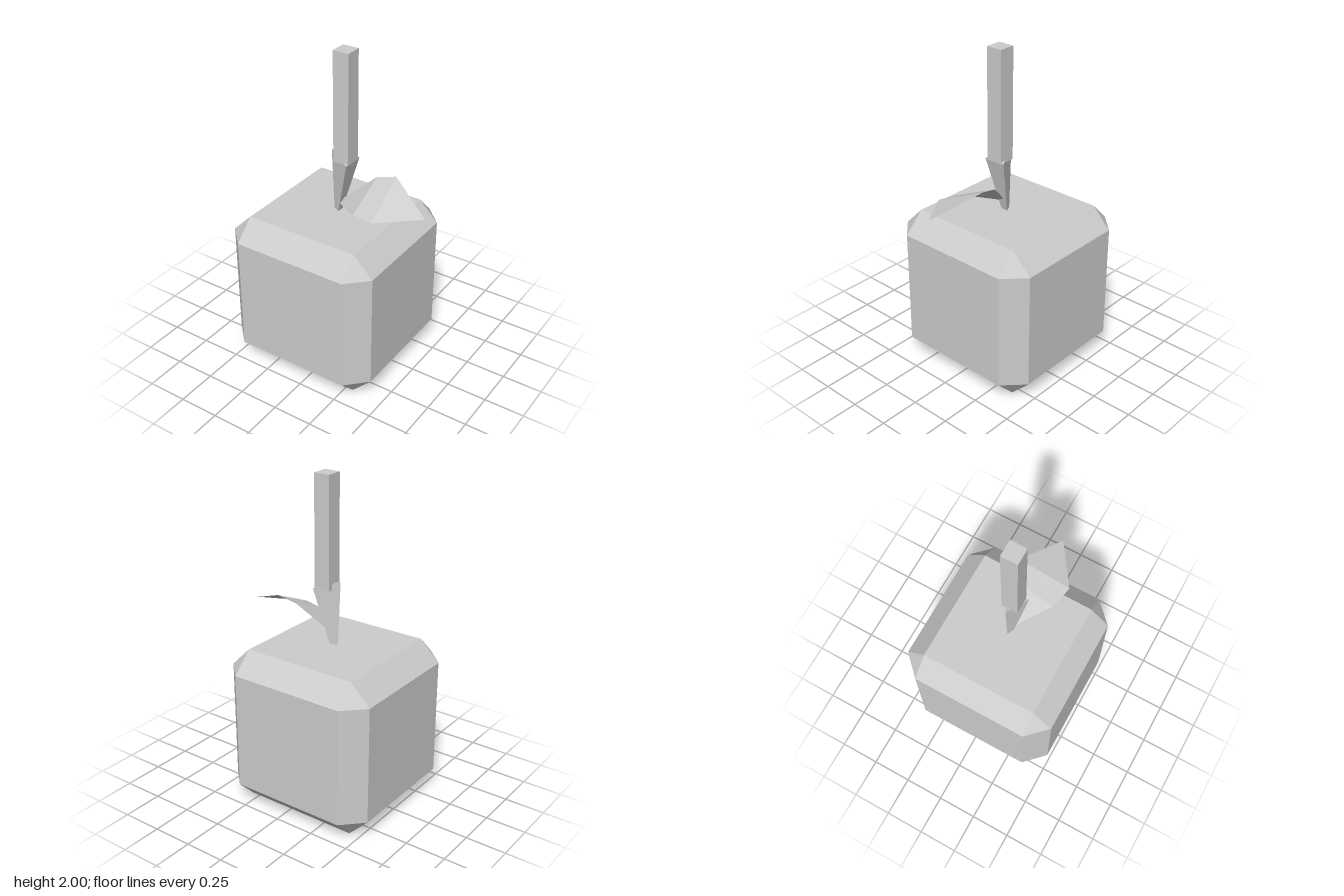
import * as THREE from 'three';
import { ConvexGeometry } from 'three/addons/geometries/ConvexGeometry.js';

const v = (x, y, z) => new THREE.Vector3(x, y, z);

// Cube with chamfered edges and triangular corners
function chamferedBox(half, chamfer) {
  const inner = half - chamfer;
  const points = [];
  for (const x of [-1, 1]) for (const y of [-1, 1]) for (const z of [-1, 1]) {
    points.push(
      v(x * half, y * inner, z * inner),
      v(x * inner, y * half, z * inner),
      v(x * inner, y * inner, z * half));
  }
  return new ConvexGeometry(points);
}

// Open sheet joining two edges of equal length
function sheet(back, front) {
  const positions = [];
  for (let i = 0; i < back.length - 1; i++) {
    const corners = [back[i], front[i], front[i + 1], back[i], front[i + 1], back[i + 1]];
    corners.forEach((c) => positions.push(...c));
  }
  const geometry = new THREE.BufferGeometry();
  geometry.setAttribute('position', new THREE.Float32BufferAttribute(positions, 3));
  geometry.computeVertexNormals();
  return geometry;
}

export function createModel() {
  const model = new THREE.Group();
  model.name = 'blockFruit';
  const grey = new THREE.MeshStandardMaterial({ color: 0xcccccc, side: THREE.DoubleSide });
  grey.name = 'light grey';

  const add = (name, geometry, x = 0, y = 0, z = 0) => {
    const mesh = new THREE.Mesh(geometry, grey);
    mesh.name = name;
    mesh.position.set(x, y, z);
    model.add(mesh);
  };

  // Fruit body
  add('body', chamferedBox(0.489, 0.124), -0.067, 0.489, 0);

  // Square upper stem
  add('upperStem', new THREE.BoxGeometry(0.102, 0.68, 0.102), 0, 1.66, 0);

  // Three-sided lower stem, flaring and leaning upward
  add('lowerStem', new ConvexGeometry([
    v(-0.08, 0.978, 0), v(-0.037, 0.978, 0.022), v(-0.037, 0.978, -0.022),
    v(-0.097, 1.37, 0), v(0.05, 1.325, 0.07), v(0.05, 1.325, -0.07),
  ]));

  // Twisted leaf growing from the stem
  const tip = [0.553, 1.125, 0.033];
  add('leaf', sheet(
    [[-0.03, 1.05, -0.005], [0.155, 1.215, -0.097], [0.275, 1.245, -0.113], tip],
    [[-0.02, 1.04, 0.03], [0.165, 1.093, 0.175], [0.305, 1.103, 0.205], tip]));

  return model;
}
